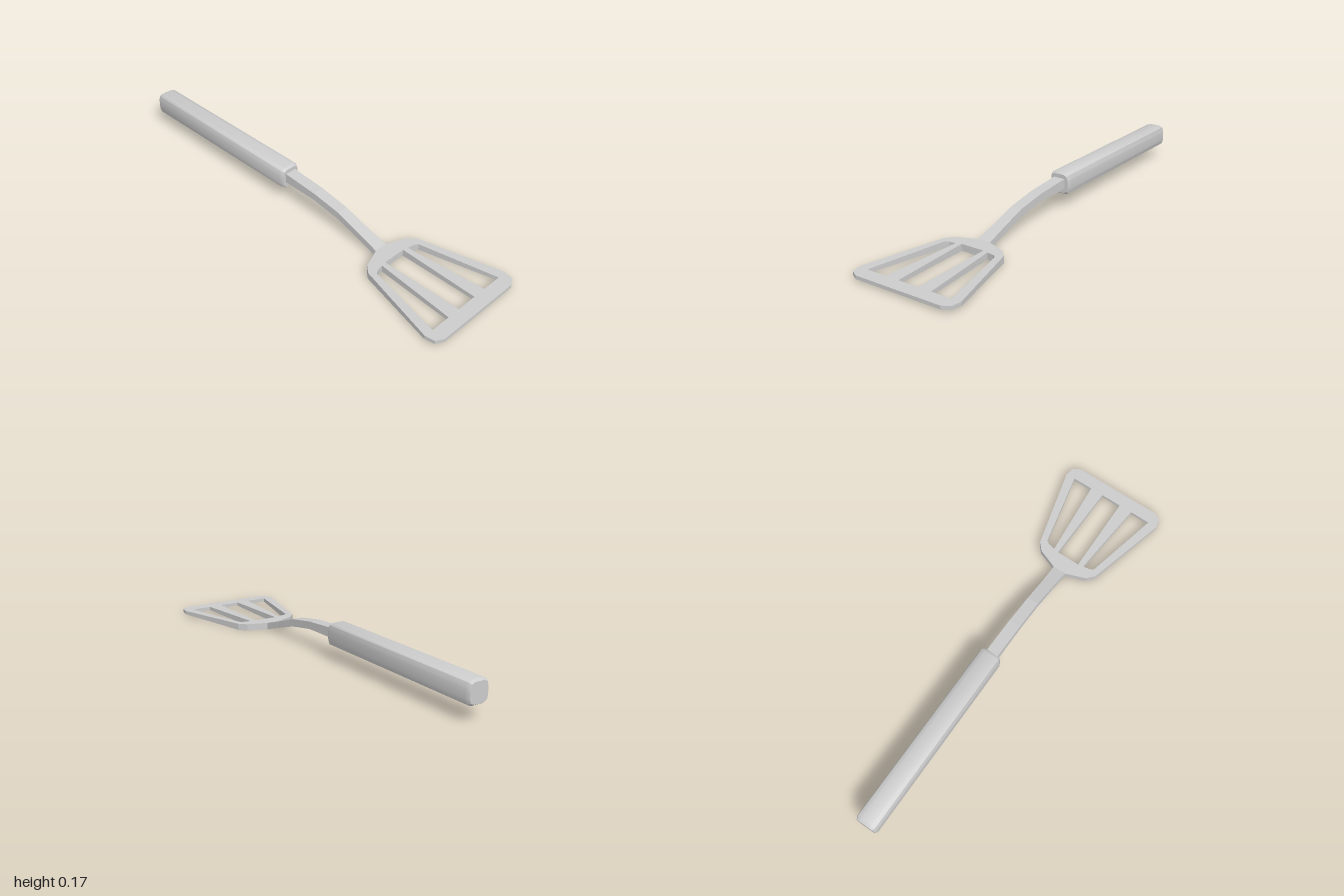
import * as THREE from 'three';
import { toCreasedNormals } from 'three/addons/utils/BufferGeometryUtils.js';

const material = new THREE.MeshStandardMaterial({ color: 0xcccccc });

// Skin a row of rings along +x; each ring runs counter-clockwise seen from +x.
function loft(rings) {
  const pos = [];
  const tri = (...pts) => pts.forEach(p => pos.push(...p));
  const n = rings[0].length;
  for (let k = 0; k < rings.length - 1; k++) {
    for (let i = 0; i < n; i++) {
      const j = (i + 1) % n;
      const a = rings[k][i], b = rings[k][j], c = rings[k + 1][j], d = rings[k + 1][i];
      tri(a, b, c);
      tri(a, c, d);
    }
  }
  const first = rings[0], last = rings[rings.length - 1];
  for (let i = 1; i < n - 1; i++) {
    tri(first[0], first[i + 1], first[i]);
    tri(last[0], last[i], last[i + 1]);
  }
  const geometry = new THREE.BufferGeometry();
  geometry.setAttribute('position', new THREE.Float32BufferAttribute(pos, 3));
  geometry.computeVertexNormals();
  return geometry;
}

function part(name, geometry) {
  const mesh = new THREE.Mesh(geometry, material);
  mesh.name = name;
  return mesh;
}

// Bevelled grip with chamfered ends, softly shaded across the shallow bevels
function handleGeometry() {
  const quarter = [[0.052, 0.023], [0.045, 0.044], [0.027, 0.052]]; // [z, y] from the centre
  const back = [...quarter].reverse();
  const section = [
    ...quarter.map(([z, y]) => [-z, y]),
    ...back.map(([z, y]) => [z, y]),
    ...quarter.map(([z, y]) => [z, -y]),
    ...back.map(([z, y]) => [-z, -y]),
  ];
  const stations = [[-1, 0.85], [-0.987, 1], [-0.091, 1], [-0.078, 0.85]]; // [x, scale]
  const rings = stations.map(([x, s]) => section.map(([z, y]) => [x, 0.119 + y * s, z * s]));
  return toCreasedNormals(loft(rings), 0.6);
}

// Flat bent stem: [x, bottom, top, half width]
function neckGeometry() {
  const stations = [
    [-0.1, 0.098, 0.146, 0.028],
    [0.1, 0.096, 0.132, 0.028],
    [0.25, 0.072, 0.108, 0.027],
    [0.38, 0.033, 0.066, 0.028],
    [0.48, 0.003, 0.035, 0.032],
  ];
  return loft(stations.map(([x, y0, y1, w]) => [[x, y0, -w], [x, y1, -w], [x, y1, w], [x, y0, w]]));
}

// Slotted blade, thinner towards its front edge
function bladeGeometry() {
  const side = [[0.48, 0.032], [0.515, 0.125], [0.55, 0.157], [0.935, 0.258], [0.98, 0.25], [1, 0.215]];
  const mirrored = pts => pts.map(([x, z]) => [x, -z]).reverse();
  const points = pts => pts.map(([x, z]) => new THREE.Vector2(x, z));
  const shape = new THREE.Shape(points([...side, ...mirrored(side)]));

  // The outline runs clockwise, the slots counter-clockwise
  const middleSlot = [[0.555, -0.057], [0.938, -0.05], [0.938, 0.05], [0.555, 0.057]];
  const outerSlot = [[0.56, 0.082], [0.938, 0.115], [0.938, 0.213], [0.577, 0.133], [0.566, 0.116]];
  for (const slot of [middleSlot, outerSlot, mirrored(outerSlot)]) {
    shape.holes.push(new THREE.Path(points(slot)));
  }

  const geometry = new THREE.ExtrudeGeometry(shape, { depth: 1, bevelEnabled: false });
  geometry.rotateX(Math.PI / 2);
  const p = geometry.attributes.position;
  for (let i = 0; i < p.count; i++) {
    const t = (p.getX(i) - 0.48) / 0.52;
    const thickness = THREE.MathUtils.lerp(0.034, 0.016, t);
    p.setY(i, 0.0185 + 0.001 * t + (p.getY(i) + 0.5) * thickness);
  }
  geometry.computeVertexNormals();
  return geometry;
}

export function createModel() {
  const group = new THREE.Group();
  group.name = 'spatula';
  group.add(
    part('handle', handleGeometry()),
    part('neck', neckGeometry()),
    part('blade', bladeGeometry()),
  );
  // Rest the lowest point on the ground
  group.position.y = -new THREE.Box3().setFromObject(group).min.y;
  return group;
}
